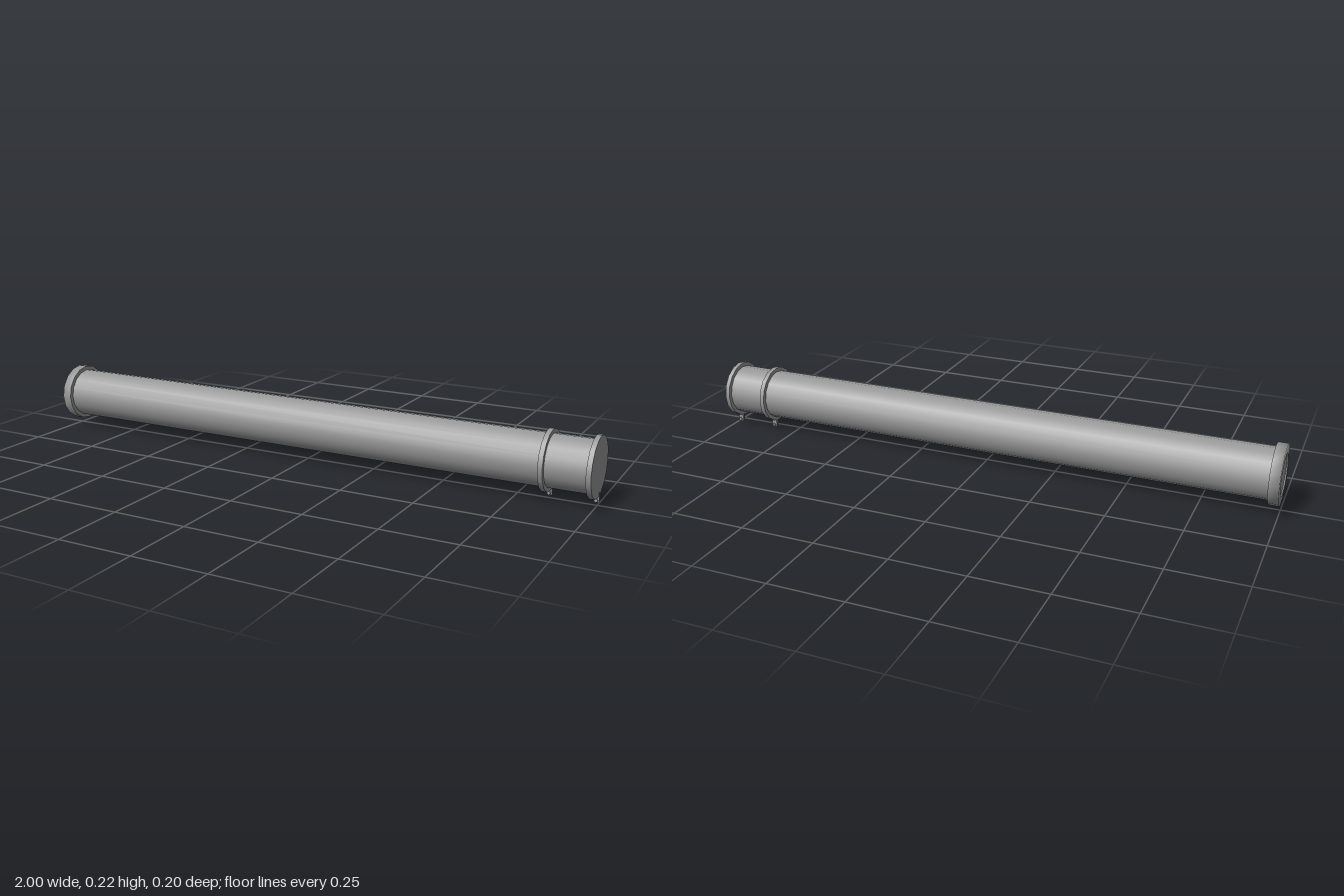
import * as THREE from 'three';

const SIDES = 16, AXIS_Y = 0.122;
const grey = new THREE.MeshStandardMaterial({ color: 0x9b9b9b });

function add(parent, name, geometry, x = 0, y = 0, z = 0) {
  const mesh = new THREE.Mesh(geometry, grey);
  mesh.name = name;
  mesh.position.set(x, y, z);
  parent.add(mesh);
  return mesh;
}

// Cylinder along x, with a vertex at the top
function rod(radius, length) {
  return new THREE.CylinderGeometry(radius, radius, length, SIDES).rotateZ(-Math.PI / 2);
}

// Turned part along x from [radius, x] points
function turned(points) {
  const profile = points.map(([r, x]) => new THREE.Vector2(r, x));
  return new THREE.LatheGeometry(profile, SIDES).rotateZ(-Math.PI / 2);
}

// Small cylinder along z for the bolt parts
function boltPart(radius, length, sides) {
  return new THREE.CylinderGeometry(radius, radius, length, sides).rotateX(Math.PI / 2);
}

// Band with two tabs below, drawn together by a small bolt
function clamp(x) {
  const group = new THREE.Group();
  group.name = 'clamp';
  group.position.x = x;
  const w = 0.008;
  add(group, 'clampBandOuter', turned([[0.1, -w], [0.1, w]]), 0, AXIS_Y);
  add(group, 'clampBandSide', turned([[0.084, -w], [0.1, -w]]), 0, AXIS_Y);
  add(group, 'clampBandSide', turned([[0.1, w], [0.084, w]]), 0, AXIS_Y);

  // One tab leans, the other hangs straight
  const leaning = add(group, 'clampTab', new THREE.BoxGeometry(0.018, 0.035, 0.003), 0, 0.0205, -0.021);
  leaning.rotation.x = 0.17;
  add(group, 'clampTab', new THREE.BoxGeometry(0.018, 0.027, 0.003), 0, 0.0135, -0.027);

  add(group, 'boltHead', boltPart(0.006, 0.004, 6), 0, 0.009, -0.015);
  add(group, 'boltNut', boltPart(0.006, 0.004, 6), 0, 0.009, -0.032);
  add(group, 'boltShank', boltPart(0.0045, 0.02, 8), 0, 0.009, -0.0235);
  return group;
}

export function createModel() {
  const model = new THREE.Group();
  model.name = 'pipe';

  // Long pipe
  add(model, 'pipeBody', rod(0.086, 1.985), 0, AXIS_Y);

  // Collar with a shallow recess in its end
  add(model, 'collarRecessWall', turned([[0.07, -0.996], [0.07, -1]]), 0, AXIS_Y);
  add(model, 'collarRim', turned([[0.07, -1], [0.1, -1], [0.1, -0.966]]), 0, AXIS_Y);
  add(model, 'collarShoulder', turned([[0.1, -0.966], [0.084, -0.966]]), 0, AXIS_Y);
  add(model, 'collarEndDisc', turned([[0, -0.996], [0.07, -0.996]]), 0, AXIS_Y);

  // Flat lid and the two clamps at the other end
  add(model, 'endLid', rod(0.0998, 0.014), 0.9922, AXIS_Y);
  model.add(clamp(0.844), clamp(0.991));
  return model;
}
